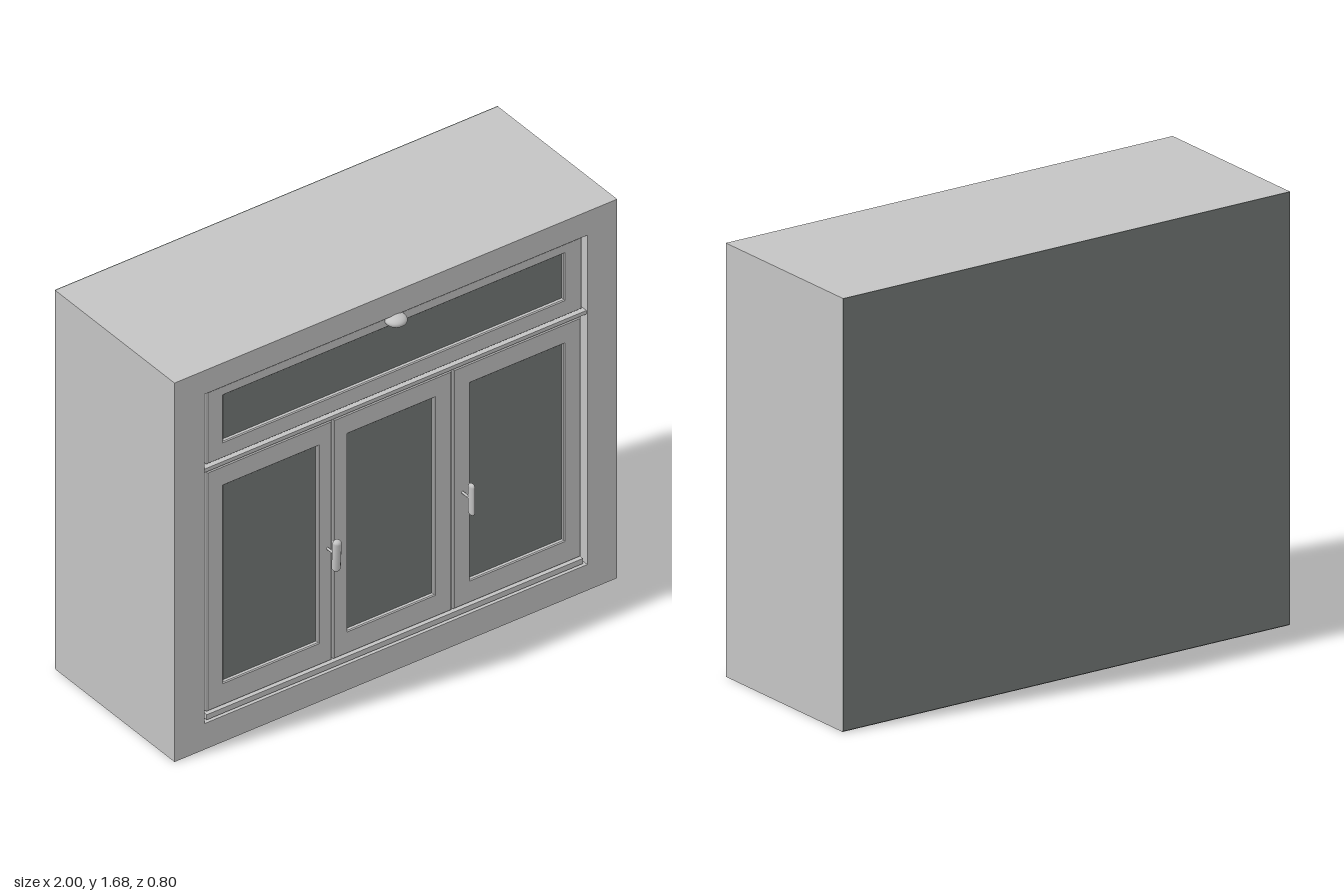
import * as THREE from 'three';

const frameMat = new THREE.MeshStandardMaterial({ color: 0xc4c4c4 });
frameMat.name = 'light grey frame';
const glassMat = new THREE.MeshStandardMaterial({ color: 0x757a78 });
glassMat.name = 'dark grey glass';

// rectangles are [x0, x1, y0, y1]
function trace(path, [x0, x1, y0, y1]) {
  path.moveTo(x0, y0);
  path.lineTo(x1, y0);
  path.lineTo(x1, y1);
  path.lineTo(x0, y1);
  path.closePath();
  return path;
}

// rectangular ring from zBack to zFront with an optional small bevel
function ring(name, outer, inner, zBack, zFront, bevel = 0) {
  const shape = trace(new THREE.Shape(), outer);
  shape.holes.push(trace(new THREE.Path(), inner));
  const geo = new THREE.ExtrudeGeometry(shape, {
    depth: zFront - zBack - 2 * bevel,
    bevelEnabled: bevel > 0,
    bevelSize: bevel,
    bevelThickness: bevel,
    bevelOffset: -bevel,
    bevelSegments: 1,
  });
  geo.translate(0, 0, zBack + bevel);
  const mesh = new THREE.Mesh(geo, frameMat);
  mesh.name = name;
  return mesh;
}

function slab(name, [x0, x1, y0, y1], zBack, zFront, mat) {
  const mesh = new THREE.Mesh(new THREE.BoxGeometry(x1 - x0, y1 - y0, zFront - zBack), mat);
  mesh.position.set((x0 + x1) / 2, (y0 + y1) / 2, (zBack + zFront) / 2);
  mesh.name = name;
  return mesh;
}

// sash frame with its pane of glass
function sash(name, outer, pane) {
  const group = new THREE.Group();
  group.name = name;
  group.add(ring(name + 'Frame', outer, pane, 0.295, 0.328, 0.004));
  group.add(slab(name + 'Glass', pane, 0.304, 0.312, glassMat));
  return group;
}

// slim upright pull handle on a thin stem
function handle(name, x, width, tilt) {
  const group = new THREE.Group();
  group.name = name;
  const grip = new THREE.Mesh(new THREE.CapsuleGeometry(0.5, 4, 4, 12), frameMat);
  grip.geometry.scale(width, 0.028, 0.034);
  grip.rotation.x = tilt;
  grip.name = name + 'Grip';
  const stem = new THREE.Mesh(new THREE.CylinderGeometry(0.005, 0.005, 0.06, 8), frameMat);
  stem.rotation.x = Math.PI / 2;
  stem.position.z = -0.03;
  stem.name = name + 'Stem';
  group.add(grip, stem);
  group.position.set(x, 0.655, 0.384);
  return group;
}

export function createModel() {
  const model = new THREE.Group();
  model.name = 'window';

  // deep surround and the dark rear face
  model.add(ring('surround', [-1, 1, 0, 1.68], [-0.865, 0.865, 0.115, 1.575], -0.395, 0.34));
  model.add(slab('rearPane', [-1, 1, 0.004, 1.68], -0.4, -0.395, glassMat));

  // rebate behind the sashes, transom and sill
  model.add(slab('rebate', [-0.865, 0.865, 0.115, 1.575], 0.28, 0.298, frameMat));
  model.add(slab('transom', [-0.865, 0.865, 1.222, 1.238], 0.298, 0.334, frameMat));
  model.add(slab('sill', [-0.85, 0.85, 0.122, 0.145], 0.298, 0.334, frameMat));

  // upper light and three lower lights
  model.add(sash('topSash', [-0.845, 0.85, 1.248, 1.568], [-0.77, 0.77, 1.32, 1.525]));
  const lower = [
    ['rightSash', -0.845, -0.28, -0.77, -0.34],
    ['centreSash', -0.272, 0.262, -0.208, 0.183],
    ['leftSash', 0.27, 0.845, 0.345, 0.77],
  ];
  for (const [name, x0, x1, p0, p1] of lower) {
    model.add(sash(name, [x0, x1, 0.152, 1.213], [p0, p1, 0.252, 1.125]));
  }

  // casement handles
  model.add(handle('rightHandle', -0.3, 0.034, 0.06));
  model.add(handle('leftHandle', 0.31, 0.02, 0));

  // round catch on the upper light
  const catchKnob = new THREE.Mesh(new THREE.SphereGeometry(1, 24, 16), frameMat);
  catchKnob.scale.set(0.043, 0.023, 0.045);
  catchKnob.position.set(0, 1.555, 0.339);
  catchKnob.name = 'topCatch';
  model.add(catchKnob);

  return model;
}
